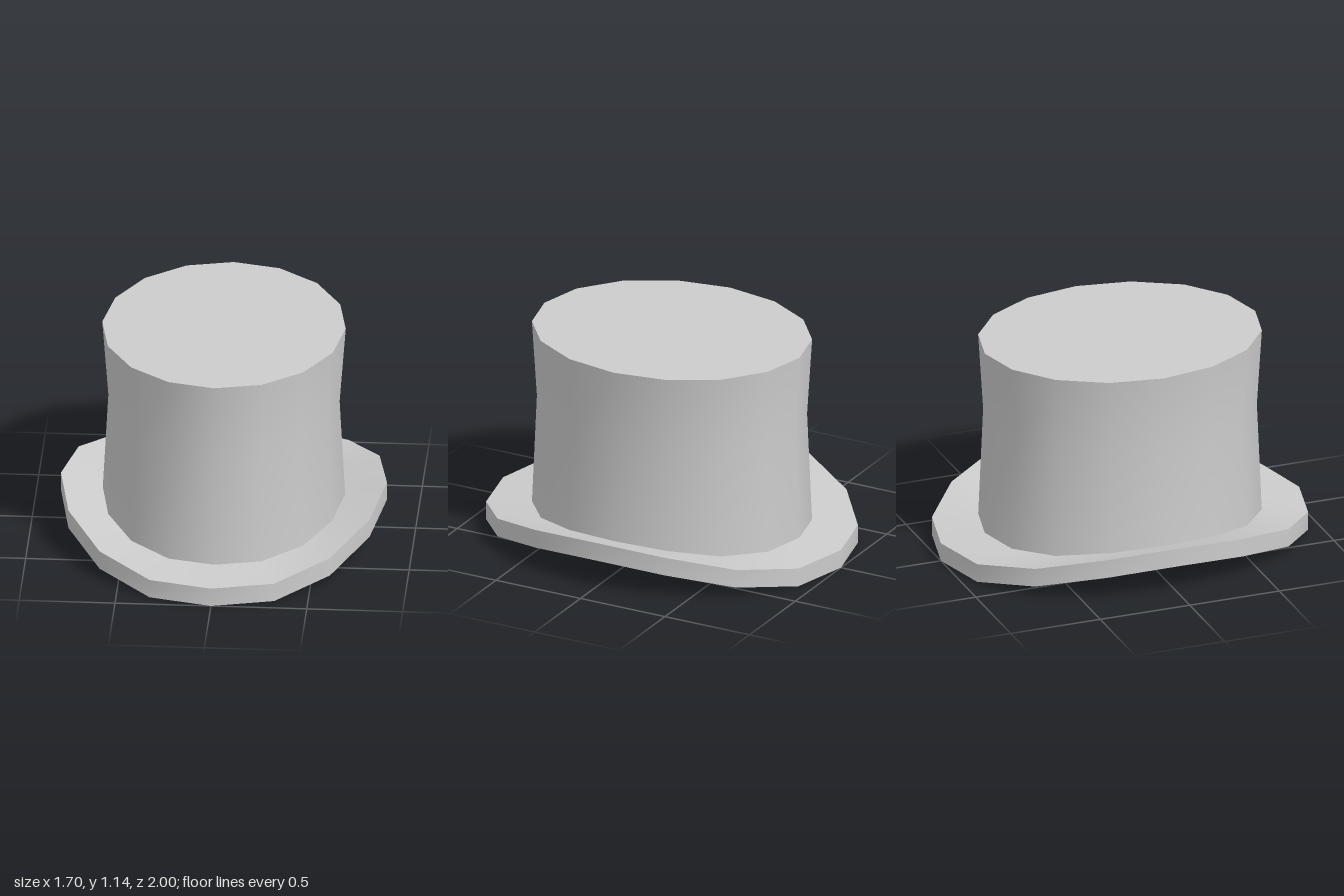
import * as THREE from 'three';

const SIDES = 16;

// The brim sweeps up towards the left and right
const curl = (x) => 0.444 * Math.max(0, Math.abs(x) - 0.25) ** 2;

// Smooth strip through elliptical rings { rx, rz, y, bend }
function strip(name, rings, material) {
  const positions = [];
  const index = [];
  rings.forEach(({ rx, rz, y, bend }, r) => {
    for (let i = 0; i < SIDES; i++) {
      const t = (i / SIDES) * Math.PI * 2;
      const x = rx * Math.sin(t);
      positions.push(x, y + (bend ? curl(x) : 0), rz * Math.cos(t));
      if (r === 0) continue;
      const next = (i + 1) % SIDES;
      const a = (r - 1) * SIDES + i, b = (r - 1) * SIDES + next;
      const c = r * SIDES + i, d = r * SIDES + next;
      index.push(a, b, d, a, d, c);
    }
  });
  const geometry = new THREE.BufferGeometry();
  geometry.setAttribute('position', new THREE.Float32BufferAttribute(positions, 3));
  geometry.setIndex(index);
  geometry.computeVertexNormals();
  const mesh = new THREE.Mesh(geometry, material);
  mesh.name = name;
  return mesh;
}

export function createModel() {
  const hat = new THREE.Group();
  hat.name = 'topHat';
  const grey = new THREE.MeshStandardMaterial({ color: 0xcccccc });
  const thin = new THREE.MeshStandardMaterial({ color: 0xcccccc, side: THREE.DoubleSide });

  const outerBottom = { rx: 0.85, rz: 1, y: 0, bend: true };
  const outerTop = { rx: 0.85, rz: 1, y: 0.1, bend: true };
  const innerTop = { rx: 0.632, rz: 0.755, y: 0.12, bend: true };
  const innerBottom = { rx: 0.632, rz: 0.755, y: 0.003, bend: true };
  const waist = { rx: 0.603, rz: 0.73, y: 0.72 };
  const crownTop = { rx: 0.635, rz: 0.755, y: 1.14 };

  // Brim: three strips with sharp edges between them
  const brim = new THREE.Group();
  brim.name = 'brim';
  brim.add(
    strip('brimTop', [outerTop, innerTop], grey),
    strip('brimEdge', [outerBottom, outerTop], grey),
    strip('brimUnderside', [innerBottom, outerBottom], grey),
  );

  // Hollow crown wall, running down through the brim to the opening
  const crown = strip('crown', [innerBottom, innerTop, waist, crownTop], thin);

  // Flat lid
  const lid = new THREE.Mesh(new THREE.CircleGeometry(1, SIDES), thin);
  lid.name = 'crownLid';
  lid.geometry.scale(crownTop.rx, crownTop.rz, 1).rotateX(-Math.PI / 2);
  lid.position.y = crownTop.y;

  hat.add(brim, crown, lid);
  return hat;
}
